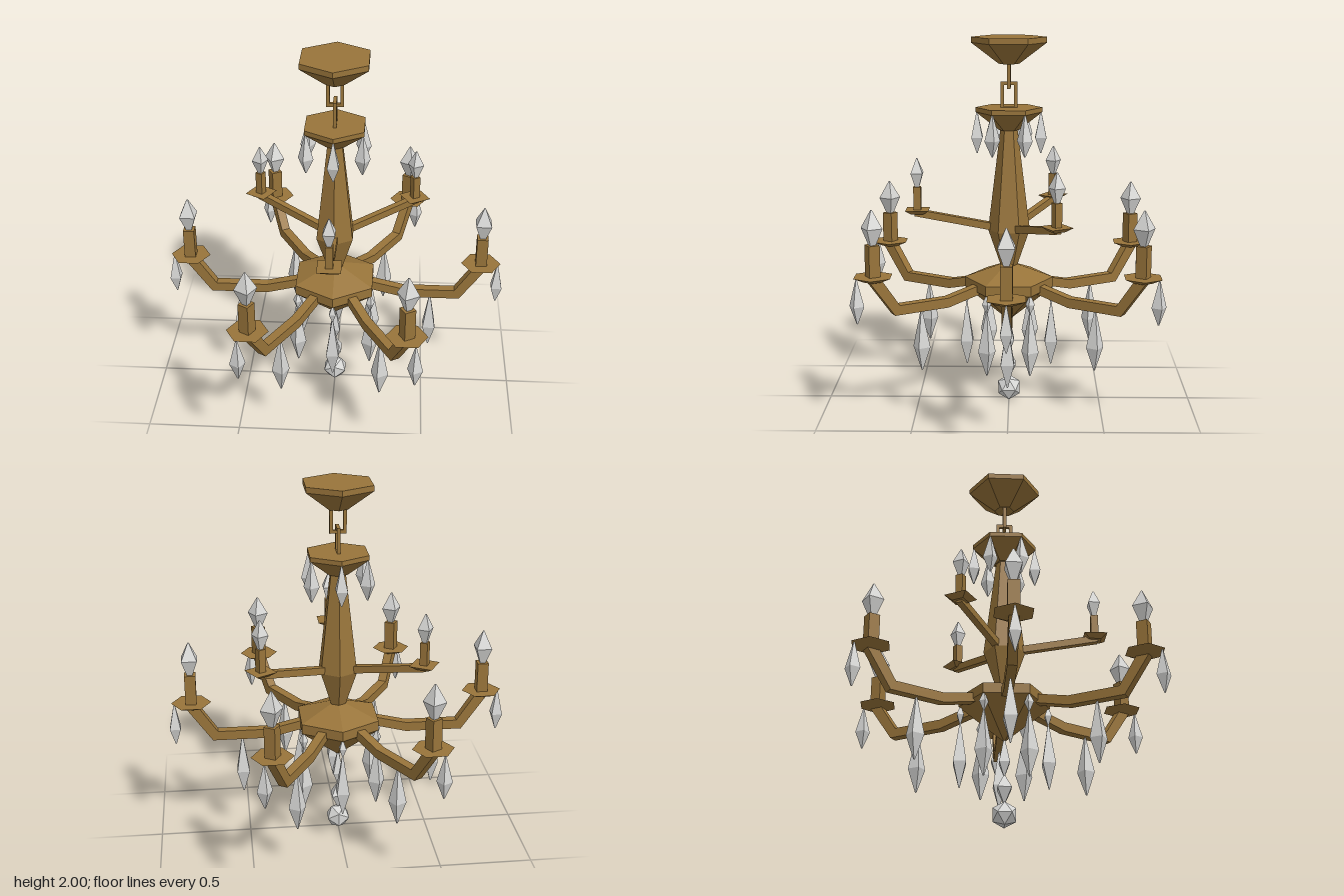
import * as THREE from 'three';

const brass = new THREE.MeshStandardMaterial({ color: 0x98743a });
brass.name = 'brass';
const crystal = new THREE.MeshStandardMaterial({ color: 0xd6d6d4 });
crystal.name = 'crystal';

// Faceted mesh: every face gets its own normals
function facet(name, geometry, material) {
  const g = geometry.index ? geometry.toNonIndexed() : geometry;
  g.computeVertexNormals();
  const mesh = new THREE.Mesh(g, material);
  mesh.name = name;
  return mesh;
}

// Turned part from [radius, y] pairs listed bottom to top
function turned(name, profile, sides, material, spin = 0) {
  const pts = profile.map(([r, y]) => new THREE.Vector2(r, y));
  return facet(name, new THREE.LatheGeometry(pts, sides).rotateY(spin), material);
}

// Four-sided cut stone; half is half the width across its flats
function stone(name, x, bottom, belly, top, half, endBottom = 0.004, endTop = 0.004) {
  const r = half * Math.SQRT2;
  const mesh = turned(name, [[0, bottom], [endBottom, bottom], [r, belly], [endTop, top], [0, top]],
    4, crystal, Math.PI / 4);
  mesh.position.x = x;
  return mesh;
}

// Bar with a side outline in the radial plane and constant width
function bar(name, outline, width) {
  const shape = new THREE.Shape(outline.map(([x, y]) => new THREE.Vector2(x, y)));
  const g = new THREE.ExtrudeGeometry(shape, { depth: width, bevelEnabled: false });
  return facet(name, g.translate(0, 0, -width / 2), brass);
}

function candle(x, bottom, top, width) {
  const mesh = facet('candle', new THREE.BoxGeometry(width, top - bottom, width), brass);
  mesh.position.set(x, (bottom + top) / 2, 0);
  return mesh;
}

// Rectangular chain link standing in the x-y plane
function link(name, bottom, top) {
  const w = 0.045, t = 0.018;
  const rect = (P, x, a, b) => {
    const p = new P();
    p.moveTo(-x, a); p.lineTo(x, a); p.lineTo(x, b); p.lineTo(-x, b); p.closePath();
    return p;
  };
  const shape = rect(THREE.Shape, w, bottom, top);
  shape.holes.push(rect(THREE.Path, w - t, bottom + t, top - t));
  const g = new THREE.ExtrudeGeometry(shape, { depth: t, bevelEnabled: false });
  return facet(name, g.translate(0, 0, -t / 2), brass);
}

// Repeats a radial group around the y axis
function around(parent, count, start, build) {
  for (let i = 0; i < count; i++) {
    const g = build();
    g.rotation.y = start + (i * 2 * Math.PI) / count;
    parent.add(g);
  }
}

function group(name, ...parts) {
  const g = new THREE.Group();
  g.name = name;
  g.add(...parts);
  return g;
}

function lowerArm() {
  const dish = turned('dish', [[0, 0.78], [0.05, 0.78], [0.108, 0.806], [0, 0.806]], 6, brass, Math.PI / 6);
  dish.position.x = 0.8;
  return group('lowerArm',
    bar('armBar', [[0.16, 0.64], [0.38, 0.585], [0.69, 0.585], [0.835, 0.79],
      [0.765, 0.79], [0.662, 0.637], [0.38, 0.637], [0.16, 0.69]], 0.05),
    dish,
    candle(0.8, 0.8, 0.972, 0.06),
    stone('candleFlame', 0.8, 0.97, 1.06, 1.155, 0.042, 0.02),
    stone('dishDrop', 0.892, 0.565, 0.66, 0.8, 0.029),
    stone('armDrop', 0.53, 0.255, 0.385, 0.59, 0.034));
}

function upperArm() {
  const dish = turned('dish', [[0, 1.052], [0.045, 1.052], [0.088, 1.075], [0, 1.075]], 4, brass, Math.PI / 4);
  dish.position.x = 0.495;
  return group('upperArm',
    bar('armBar', [[0.05, 0.955], [0.51, 1.04], [0.51, 1.07], [0.46, 1.07], [0.05, 0.995]], 0.036),
    dish,
    candle(0.495, 1.07, 1.2, 0.04),
    stone('candleFlame', 0.495, 1.198, 1.275, 1.355, 0.032, 0.015));
}

export function createModel() {
  const model = group('chandelier',
    // Ceiling mount and chain
    turned('canopy', [[0, 1.86], [0.055, 1.86], [0.2, 1.97], [0.2, 2], [0, 2]], 6, brass),
    link('upperLink', 1.73, 1.88));
  const lowerLink = link('lowerLink', 1.615, 1.766);
  lowerLink.rotation.y = Math.PI / 2;
  model.add(lowerLink);

  // Central stem
  model.add(
    turned('crown', [[0, 1.51], [0.055, 1.51], [0.178, 1.605], [0.178, 1.63], [0, 1.63]], 6, brass),
    turned('column', [[0.045, 0.765], [0.113, 0.965], [0.045, 1.52]], 6, brass),
    turned('hub', [[0, 0.46], [0.01, 0.46], [0.242, 0.645], [0.242, 0.7], [0.05, 0.77], [0, 0.77]], 6, brass));

  // Arms and hanging stones
  around(model, 6, 0, lowerArm);
  around(model, 3, -Math.PI / 2, upperArm);
  around(model, 6, Math.PI / 2, () => group('crownDrop',
    stone('drop', 0.17, 1.385, 1.47, 1.605, 0.03)));
  around(model, 6, Math.PI / 2, () => group('hubDrop',
    stone('bead', 0.232, 0.55, 0.6, 0.648, 0.018),
    stone('drop', 0.232, 0.2, 0.335, 0.555, 0.034)));

  // Bottom pendant
  const ball = facet('pendantBall', new THREE.IcosahedronGeometry(0.0705, 0), crystal);
  ball.position.y = 0.06;
  model.add(
    stone('pendantDrop', 0, 0.265, 0.34, 0.47, 0.028),
    stone('pendantBead', 0, 0.118, 0.2, 0.272, 0.037),
    ball);
  return model;
}
